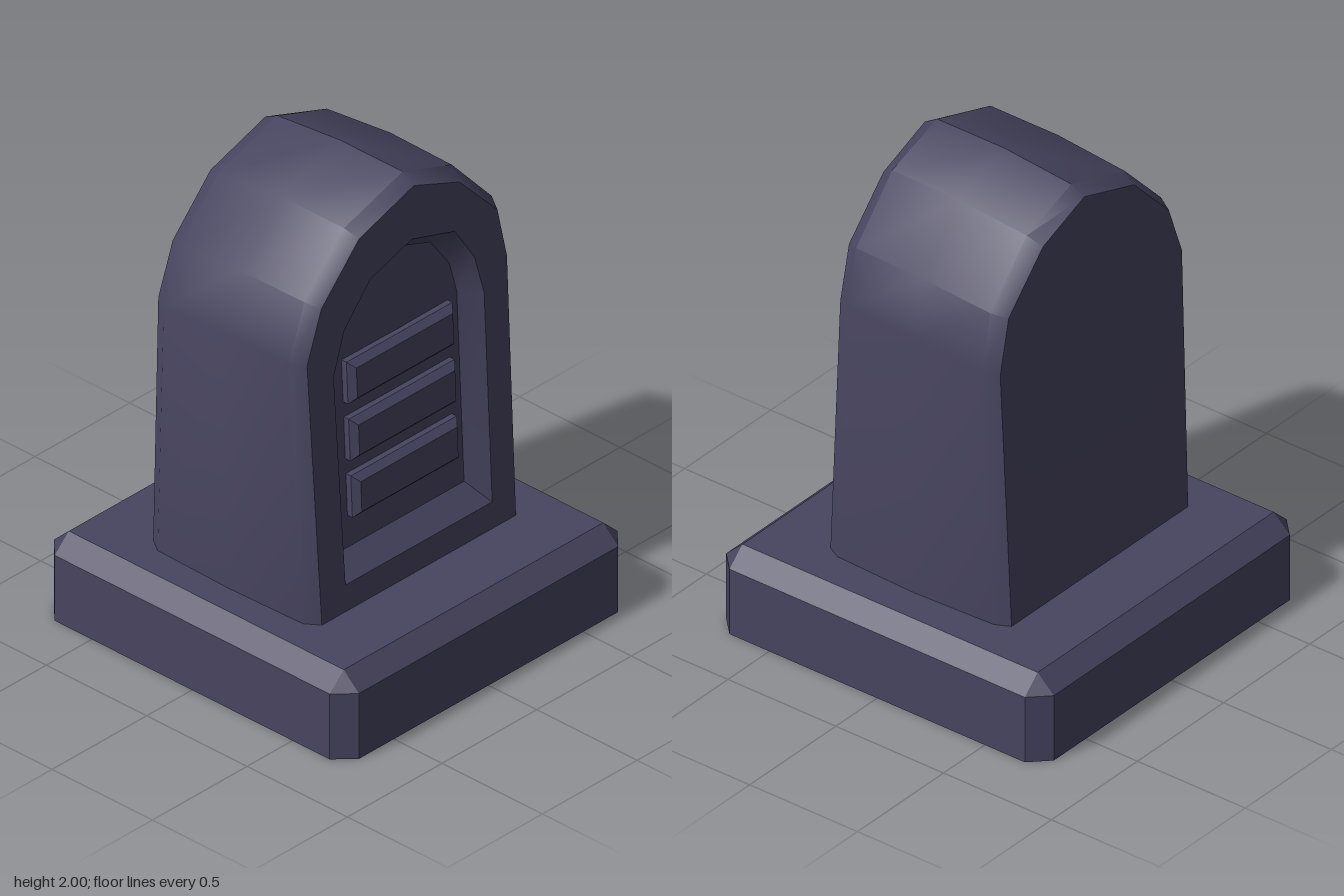
import * as THREE from 'three';
import { toCreasedNormals } from 'three/addons/utils/BufferGeometryUtils.js';

// Skins closed rings of equal point count; rings run counter-clockwise around the first cap.
function loft(rings, capStart, capEnd, crease = 0.6) {
  const pos = [];
  const tri = (a, b, c) => {
    const area = b.clone().sub(a).cross(c.clone().sub(a)).length();
    if (area > 1e-7) for (const p of [a, b, c]) pos.push(p.x, p.y, p.z);
  };
  const n = rings[0].length;
  const centre = (r) => r.reduce((s, p) => s.add(p), new THREE.Vector3()).divideScalar(n);
  const first = rings[0], last = rings[rings.length - 1];
  const c0 = centre(first), c1 = centre(last);
  for (let i = 0; i < n; i++) {
    const j = (i + 1) % n;
    if (capStart) tri(c0, first[i], first[j]);
    for (let k = 0; k < rings.length - 1; k++) {
      const a = rings[k], b = rings[k + 1];
      tri(a[i], b[i], b[j]);
      tri(a[i], b[j], a[j]);
    }
    if (capEnd) tri(c1, last[j], last[i]);
  }
  const g = new THREE.BufferGeometry();
  g.setAttribute('position', new THREE.Float32BufferAttribute(pos, 3));
  return toCreasedNormals(g, crease);
}

// Half depth of the stone: it tapers up to the shoulders, then stays straight.
const halfDepth = (y) => 0.37 + 0.05 * Math.max(0, (1.45 - y) / 1.1);
const ring = (pts, zOf) => pts.map(([x, y]) => new THREE.Vector3(x, y, zOf(y)));

export function createModel() {
  const group = new THREE.Group();
  const stone = new THREE.MeshStandardMaterial({ color: 0x47445f, side: THREE.DoubleSide });
  stone.name = 'dark stone';
  const add = (name, geometry) => {
    const mesh = new THREE.Mesh(geometry, stone);
    mesh.name = name;
    group.add(mesh);
  };

  // Plinth: chamfered top and corners, open underneath
  const octagon = (r, cut, y) => {
    const c = r - cut;
    return [[r, c], [r, -c], [c, -r], [-c, -r], [-r, -c], [-r, c], [-c, r], [c, r]]
      .map(([x, z]) => new THREE.Vector3(x, y, z));
  };
  add('plinth', loft([octagon(0.685, 0, 0.35), octagon(0.76, 0.075, 0.28), octagon(0.76, 0.075, 0)], true, false, 0.4));

  // Arch outlines, from bottom right over the top to bottom left
  const recessFloor = [[0.325, 0.54], [0.325, 1.34], [0.29, 1.475], [0.19, 1.61], [0.01, 1.675],
    [-0.175, 1.61], [-0.275, 1.475], [-0.345, 1.34], [-0.325, 0.54]];
  const recessRim = [[0.385, 0.46], [0.385, 1.34], [0.34, 1.51], [0.235, 1.67], [0.01, 1.74],
    [-0.21, 1.67], [-0.35, 1.51], [-0.41, 1.34], [-0.39, 0.46]];
  const face = [[0.505, 0.35], [0.51, 1.44], [0.46, 1.66], [0.26, 1.87], [0.02, 1.965],
    [-0.27, 1.87], [-0.47, 1.66], [-0.545, 1.45], [-0.52, 0.35]];
  const edge = [[0.535, 0.35], [0.54, 1.45], [0.49, 1.68], [0.28, 1.91], [0.02, 2],
    [-0.29, 1.9], [-0.5, 1.68], [-0.58, 1.46], [-0.56, 0.35]];
  const middle = [[0.55, 0.35], [0.555, 1.45], [0.5, 1.68], [0.285, 1.91], [0.02, 2],
    [-0.29, 1.9], [-0.505, 1.68], [-0.595, 1.46], [-0.57, 0.35]];
  const lower = (pts, d) => pts.map(([x, y]) => [x, y > 0.4 ? y - d : y]);

  // Headstone: recessed front panel, bevelled edges, bulging sides, flat back
  const floorZ = (y) => halfDepth(y) - 0.08;
  add('headstone', loft([
    ring(recessFloor, floorZ),
    ring(recessRim, halfDepth),
    ring(face, halfDepth),
    ring(edge, (y) => halfDepth(y) - 0.057),
    ring(middle, () => 0),
    ring(lower(edge, 0.03), (y) => -halfDepth(y) + 0.06),
    ring(lower(face, 0.025), (y) => -halfDepth(y)),
  ], true, true));

  // Three raised bars on the recessed panel
  const rect = (w, h, y) => [[w - 0.005, y - h], [w - 0.005, y + h], [-w - 0.005, y + h], [-w - 0.005, y - h]];
  for (const y of [0.76, 0.998, 1.238]) {
    add('raisedBar', loft([
      ring(rect(0.255, 0.063, y), (v) => floorZ(v) + 0.05),
      ring(rect(0.28, 0.088, y), (v) => floorZ(v) + 0.025),
      ring(rect(0.28, 0.088, y), (v) => floorZ(v) - 0.01),
    ], true, false, 0.4));
  }
  return group;
}
